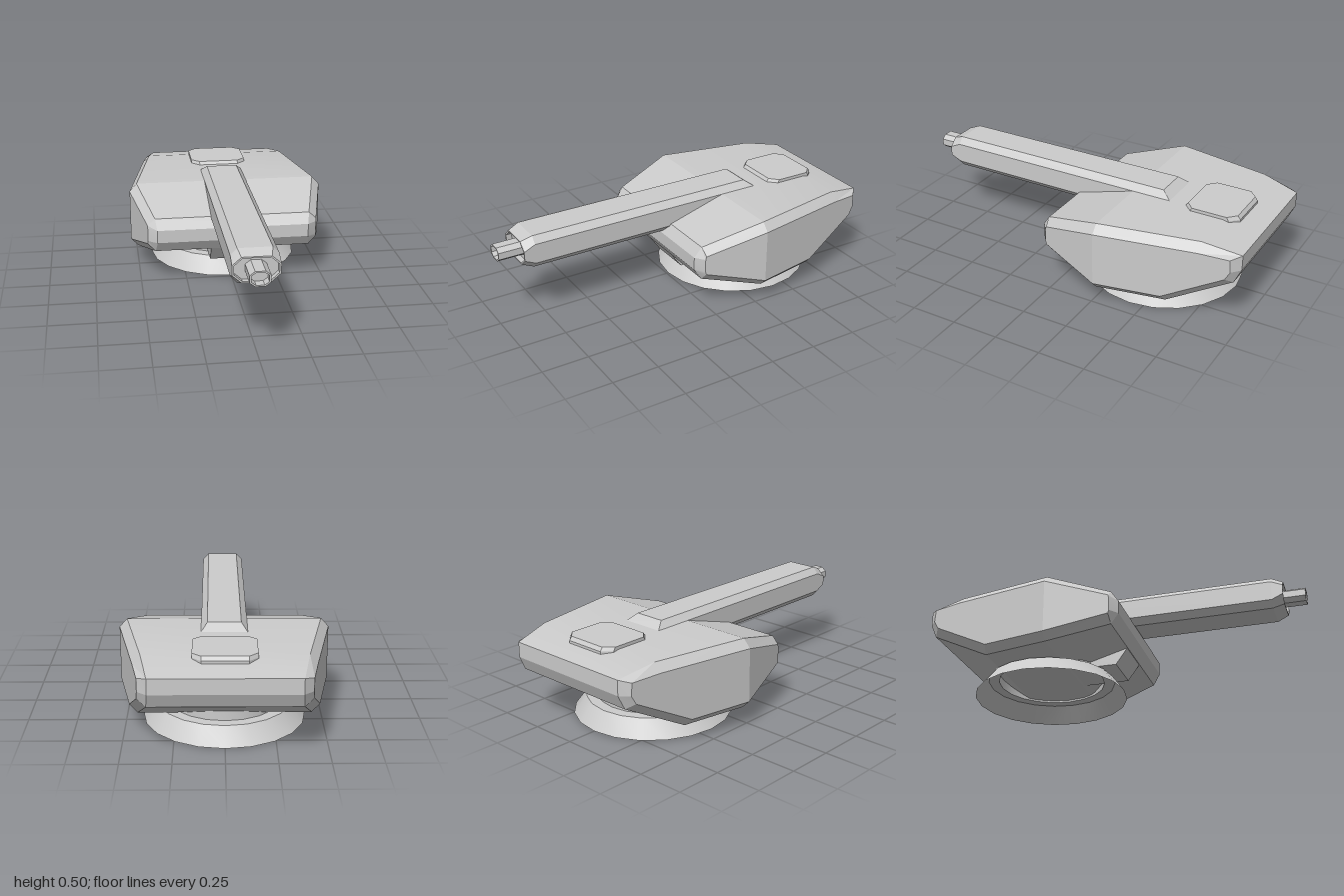
import * as THREE from 'three';
import { toCreasedNormals } from 'three/addons/utils/BufferGeometryUtils.js';

const material = new THREE.MeshStandardMaterial({ color: 0xcccccc });
const openMaterial = new THREE.MeshStandardMaterial({ color: 0xcccccc, side: THREE.DoubleSide });

// Skins a list of rings (equal point counts) and closes both ends with fans.
function loft(rings, crease = 0.25) {
  const n = rings[0].length;
  const index = [];
  rings.forEach((_, r) => {
    if (r === rings.length - 1) return;
    for (let i = 0; i < n; i++) {
      const a = r * n + i, b = r * n + (i + 1) % n;
      index.push(a, b, b + n, a, b + n, a + n);
    }
  });
  const last = (rings.length - 1) * n;
  for (let i = 1; i < n - 1; i++) {
    index.push(0, i + 1, i);
    index.push(last, last + i, last + i + 1);
  }
  const geometry = new THREE.BufferGeometry();
  geometry.setAttribute('position', new THREE.Float32BufferAttribute(rings.flat(2), 3));
  geometry.setIndex(index);
  return toCreasedNormals(geometry, crease);
}

// Octagon corners: half sizes w, h with flat half lengths wf, hf.
function octagon(w, wf, h, hf) {
  return [[w, -hf], [w, hf], [wf, h], [-wf, h], [-w, hf], [-w, -hf], [-wf, -h], [wf, -h]];
}

const GUN_Y = 0.4175;
const gunRing = (z, ...size) => octagon(...size).map(([x, y]) => [x, y + GUN_Y, z]);

export function createModel() {
  const model = new THREE.Group();
  const add = (name, geometry, mat = material) => {
    const mesh = new THREE.Mesh(geometry, mat);
    mesh.name = name;
    model.add(mesh);
    return mesh;
  };

  // Flared base ring with the neck rising into the body, open below
  const basePoints = [[0.415, 0], [0.347, 0.09], [0.29, 0.09], [0.29, 0.16]];
  const base = new THREE.LatheGeometry(basePoints.map(p => new THREE.Vector2(...p)), 20);
  add('baseRing', toCreasedNormals(base, 0.5), openMaterial).position.z = -0.425;

  // Body: side profiles as [z, y], widest at z = -0.28
  const rim = [
    [-0.28, 0.47], [0.045, 0.375], [0.083, 0.32], [0.083, 0.25], [0.045, 0.19], [-0.28, 0.1],
    [-0.635, 0.1], [-0.965, 0.275], [-1, 0.35], [-1, 0.43], [-0.8, 0.47],
  ];
  const panel = [
    [-0.28, 0.425], [0.04, 0.337], [0.045, 0.32], [0.045, 0.25], [0.04, 0.233], [-0.28, 0.14],
    [-0.625, 0.14], [-0.935, 0.305], [-0.96, 0.35], [-0.955, 0.415], [-0.8, 0.425],
  ];
  const halfWidth = (z, max) => max - (z > -0.28 ? 0.247 : 0.193) * Math.abs(z + 0.28);
  const side = (profile, max, s) => profile.map(([z, y]) => [s * halfWidth(z, max), y, z]);
  add('body', loft([
    side(panel, 0.54, -1), side(rim, 0.5, -1), side(rim, 0.5, 1), side(panel, 0.54, 1),
  ]));

  // Gun mount block under the barrel, with a slanted front
  const mount = [[-0.28, 0.2], [0.05, 0.2], [-0.02, 0.102], [-0.28, 0.102]];
  add('gunMount', loft([-0.117, 0.117].map(x => mount.map(([z, y]) => [x, y, z]))));

  // Barrel housing with a tapered nose and a shallow recess
  add('barrelHousing', loft([
    gunRing(-0.49, 0.117, 0.116, 0.0525, 0.052),
    gunRing(-0.44, 0.117, 0.085, 0.0875, 0.0525),
    gunRing(0.83, 0.117, 0.085, 0.0875, 0.0525),
    gunRing(0.89, 0.117, 0.072, 0.065, 0.025),
    gunRing(0.89, 0.108, 0.067, 0.058, 0.021),
    gunRing(0.86, 0.108, 0.067, 0.058, 0.021),
  ]));

  // Muzzle with its bore
  add('muzzle', loft([
    gunRing(0.8, 0.051, 0.025, 0.038, 0.018),
    gunRing(1, 0.051, 0.025, 0.038, 0.018),
    gunRing(1, 0.042, 0.02, 0.031, 0.015),
    gunRing(0.95, 0.042, 0.02, 0.031, 0.015),
  ]));

  // Roof hatch
  const hatchRing = (y, ...size) => octagon(...size).map(([x, d]) => [x, y, -0.728 - d]);
  add('hatch', loft([
    hatchRing(0.44, 0.157, 0.112, 0.15, 0.105),
    hatchRing(0.468, 0.157, 0.112, 0.15, 0.105),
    hatchRing(0.487, 0.157, 0.112, 0.136, 0.094),
  ]));

  return model;
}
